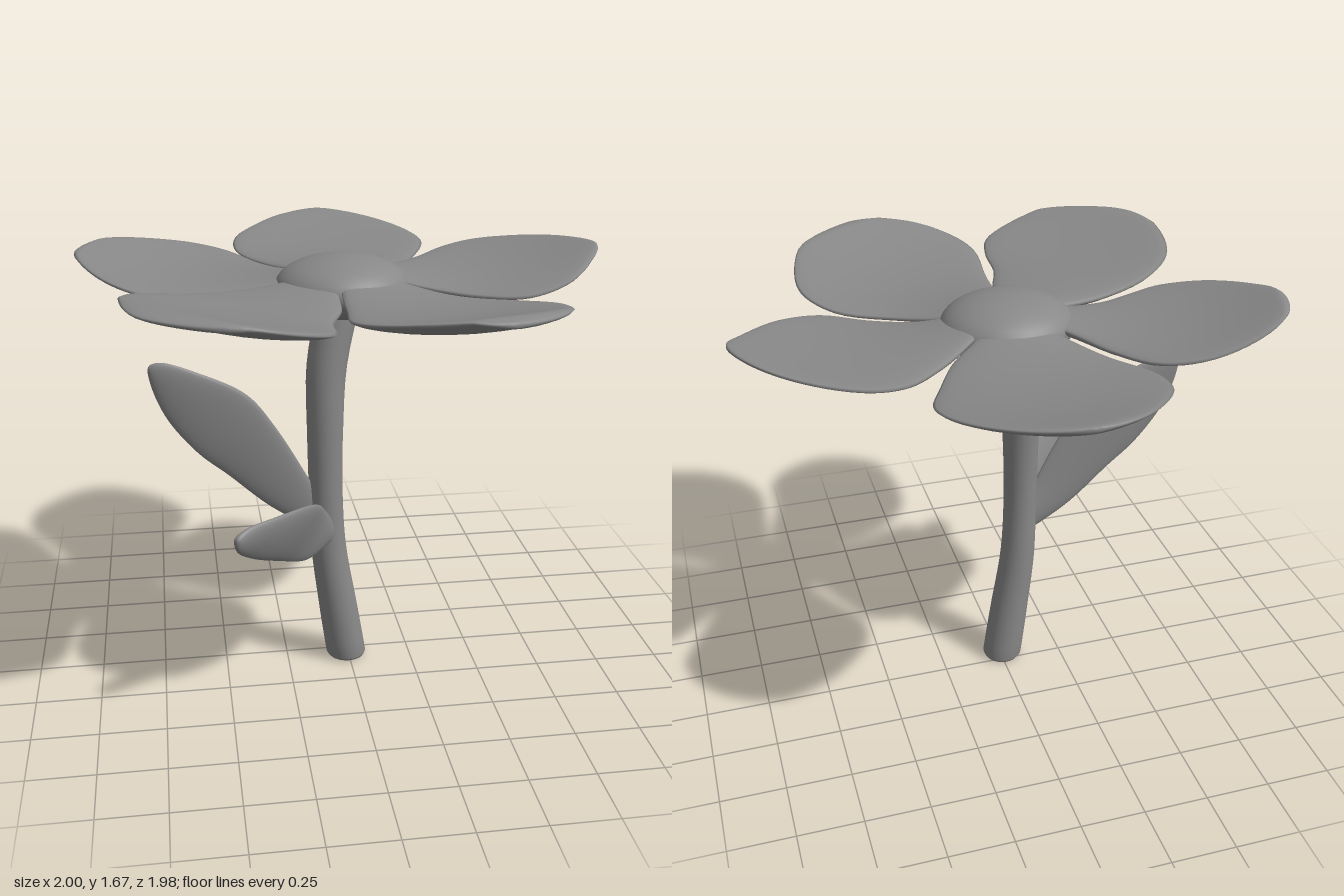
import * as THREE from 'three';
import { mergeVertices } from 'three/addons/utils/BufferGeometryUtils.js';

const material = new THREE.MeshStandardMaterial({ color: 0x888888 });

function addMesh(group, name, geometry) {
  const mesh = new THREE.Mesh(geometry, material);
  mesh.name = name;
  group.add(mesh);
}

// Thin lens-shaped blade inside one outline: up the left edge, round the tip, down the right edge.
function blade(leftPts, tip, rightPts, thickness, shift = () => 0) {
  const outline = new THREE.CatmullRomCurve3([...leftPts, tip, ...[...rightPts].reverse()]);
  const left = (u) => outline.getPoint(u / 2);
  const right = (u) => outline.getPoint(1 - u / 2);
  const middle = (u) => left(u).lerp(right(u), 0.5);
  const rows = 36, cols = 28, pos = [], index = [];
  for (let i = 0; i <= rows; i++) {
    const t = i / rows;
    const u = 0.6 * t + 0.4 * Math.sin(t * Math.PI / 2); // denser at the tip
    const mid = middle(u);
    const half = right(u).sub(mid);
    const v = Math.min(u, 0.88);
    const forward = middle(v + 0.02).sub(middle(Math.max(v - 0.02, 0)));
    const normal = right(v).sub(left(v)).cross(forward).normalize();
    const thick = thickness * Math.sqrt(Math.max(0, 1 - u ** 4));
    for (let j = 0; j < cols; j++) {
      const a = (j / cols) * Math.PI * 2;
      const p = mid.clone().addScaledVector(half, Math.cos(a)).addScaledVector(normal, thick * Math.sin(a));
      p.y += shift(p, Math.cos(a) ** 2 * (1 - u * u));
      pos.push(p.x, p.y, p.z);
      if (i < rows) {
        const k = (j + 1) % cols, r0 = i * cols, r1 = r0 + cols;
        index.push(r0 + j, r1 + j, r1 + k, r0 + j, r1 + k, r0 + k);
      }
    }
  }
  const g = new THREE.BufferGeometry();
  g.setAttribute('position', new THREE.Float32BufferAttribute(pos, 3));
  g.setIndex(index);
  const merged = mergeVertices(g, 1e-5);
  merged.computeVertexNormals();
  return merged;
}

// Petal outlines seen from above as [x, z]; both edges end at the shared tip.
const petals = [
  { name: 'backPetal', tip: [0.01, -0.995], tilt: [0, 0],
    left: [[-0.17, -0.19], [-0.27, -0.35], [-0.375, -0.54], [-0.37, -0.7], [-0.29, -0.83], [-0.15, -0.95]],
    right: [[0.16, -0.16], [0.25, -0.25], [0.34, -0.42], [0.405, -0.6], [0.36, -0.75], [0.2, -0.92]] },
  { name: 'leftPetal', tip: [0.995, -0.1], tilt: [0, -0.05],
    left: [[0.16, -0.16], [0.32, -0.32], [0.455, -0.44], [0.59, -0.476], [0.775, -0.41], [0.925, -0.27]],
    right: [[0.21, 0.09], [0.31, 0.135], [0.455, 0.215], [0.615, 0.29], [0.775, 0.23], [0.925, 0.05]] },
  { name: 'frontLeftPetal', tip: [0.365, 0.985], tilt: [-0.06, 0],
    left: [[0.21, 0.1], [0.375, 0.21], [0.57, 0.32], [0.66, 0.455], [0.665, 0.615], [0.59, 0.83]],
    right: [[-0.05, 0.23], [-0.065, 0.455], [-0.08, 0.67], [-0.035, 0.79], [0.08, 0.91], [0.21, 0.965]] },
  { name: 'frontRightPetal', tip: [-0.48, 0.91], tilt: [-0.04, -0.01],
    left: [[-0.06, 0.23], [-0.07, 0.375], [-0.12, 0.535], [-0.13, 0.695], [-0.165, 0.8], [-0.27, 0.87]],
    right: [[-0.24, 0.06], [-0.45, 0.125], [-0.67, 0.22], [-0.785, 0.34], [-0.82, 0.56], [-0.755, 0.785]] },
  { name: 'rightPetal', tip: [-1, -0.23], tilt: [0, -0.03],
    left: [[-0.25, 0.08], [-0.43, 0.115], [-0.56, 0.16], [-0.68, 0.18], [-0.83, 0.11], [-0.95, -0.05]],
    right: [[-0.2, -0.17], [-0.305, -0.35], [-0.41, -0.51], [-0.56, -0.572], [-0.775, -0.525], [-0.925, -0.41]] },
];

const leaves = [
  { name: 'largeLeaf', tip: [-0.745, 1.285, 0.08],
    lower: [[-0.1, 0.57, 0.08], [-0.3, 0.69, 0.08], [-0.47, 0.84, 0.08], [-0.58, 0.935, 0.08], [-0.69, 1.08, 0.08], [-0.743, 1.22, 0.08]],
    upper: [[-0.09, 0.68, 0.07], [-0.155, 0.8, 0.09], [-0.285, 1.03, 0.1], [-0.39, 1.165, 0.1], [-0.56, 1.255, 0.1], [-0.7, 1.3, 0.09]] },
  { name: 'smallLeaf', tip: [-0.475, 0.825, 0.635],
    lower: [[-0.09, 0.545, 0.12], [-0.2, 0.56, 0.29], [-0.31, 0.628, 0.42], [-0.42, 0.705, 0.54], [-0.475, 0.78, 0.625]],
    upper: [[-0.08, 0.64, 0.11], [-0.115, 0.73, 0.22], [-0.18, 0.835, 0.4], [-0.32, 0.85, 0.52], [-0.44, 0.848, 0.61]] },
];

export function createModel() {
  const model = new THREE.Group();
  model.name = 'flower';

  // Stem: a rounded column bent along a gentle S curve
  const path = new THREE.CatmullRomCurve3([
    [-0.007, 0, 0.045], [-0.045, 0.25, 0.055], [-0.08, 0.5, 0.06], [-0.092, 0.75, 0.068],
    [-0.093, 1, 0.068], [-0.083, 1.25, 0.052], [-0.03, 1.5, 0.02],
  ].map((p) => new THREE.Vector3(...p)));
  const profile = [[0, 0], [0.06, 0], [0.073, 0.004], [0.08, 0.016]];
  for (let i = 1; i <= 24; i++) {
    const y = 0.016 + (i / 24) * 1.484;
    profile.push([0.073 + 0.007 * Math.cos((y / 1.5) * Math.PI * 2), y]);
  }
  let stem = new THREE.LatheGeometry(profile.map((p) => new THREE.Vector2(...p)), 32);
  const sp = stem.attributes.position;
  for (let i = 0; i < sp.count; i++) {
    const c = path.getPoint(sp.getY(i) / 1.5);
    sp.setXYZ(i, sp.getX(i) + c.x, sp.getY(i), sp.getZ(i) * 1.04 + c.z);
  }
  stem.deleteAttribute('uv');
  stem.deleteAttribute('normal');
  stem = mergeVertices(stem, 1e-5);
  stem.computeVertexNormals();
  addMesh(model, 'stem', stem);

  // Flower centre: a flattened ball
  const centre = new THREE.SphereGeometry(1, 40, 24);
  centre.scale(0.25, 0.117, 0.235).translate(-0.02, 1.548, 0.015);
  addMesh(model, 'flowerCentre', centre);

  // Petals: shallow cups with their tips rising outward
  for (const { name, left, right, tip, tilt } of petals) {
    const edge = (pts) => [[pts[0][0] * 0.6, pts[0][1] * 0.6], ...pts]
      .map(([x, z]) => new THREE.Vector3(x, 0, z));
    const cup = (p, lift) => {
      const r = Math.min(Math.hypot(p.x, p.z), 1);
      const twist = tilt[0] * (p.x - tip[0] * r) + tilt[1] * (p.z - tip[1] * r);
      return 1.538 + 0.35 * (r - 0.45) ** 2 + 0.012 * lift + twist;
    };
    addMesh(model, name, blade(edge(left), new THREE.Vector3(tip[0], 0, tip[1]), edge(right), 0.03, cup));
  }

  // Leaves
  for (const { name, lower, upper, tip } of leaves) {
    const edge = (pts) => pts.map((p) => new THREE.Vector3(...p));
    addMesh(model, name, blade(edge(lower), new THREE.Vector3(...tip), edge(upper), 0.022));
  }
  return model;
}
